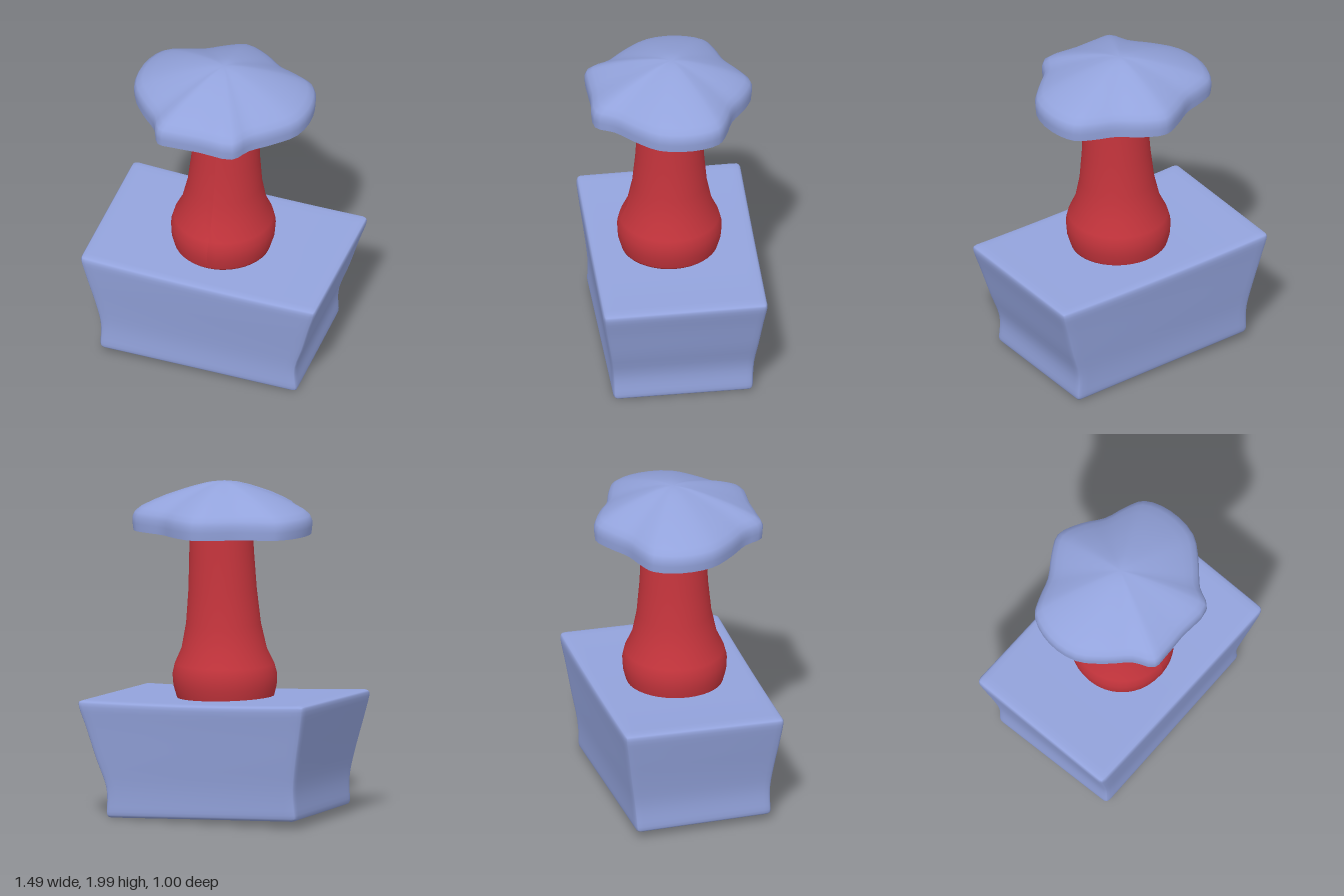
import * as THREE from 'three';
import { mergeVertices } from 'three/addons/utils/BufferGeometryUtils.js';

const blue = new THREE.MeshStandardMaterial({ color: 0x93a3dc, side: THREE.DoubleSide });
const red = new THREE.MeshStandardMaterial({ color: 0xc4343c, side: THREE.DoubleSide });

// Smooth value through evenly spaced samples
function spline(values) {
  const curve = new THREE.SplineCurve(values.map((v, i) => new THREE.Vector2(v, i)));
  return t => curve.getPoint(THREE.MathUtils.clamp(t, 0, 1)).x;
}

// Move every vertex by a rule
function deform(geometry, rule) {
  const pos = geometry.attributes.position;
  const v = new THREE.Vector3();
  for (let i = 0; i < pos.count; i++) {
    v.fromBufferAttribute(pos, i);
    rule(v);
    pos.setXYZ(i, v.x, v.y, v.z);
  }
  geometry.computeVertexNormals();
  return geometry;
}

function part(name, geometry, material) {
  const mesh = new THREE.Mesh(geometry, material);
  mesh.name = name;
  return mesh;
}

// Block with rounded edges, flaring upward and slightly lopsided
function baseGeometry() {
  let g = new THREE.BoxGeometry(2, 2, 2, 20, 20, 20);
  g.deleteAttribute('uv');
  g.deleteAttribute('normal');
  g = mergeVertices(g);
  const half = new THREE.Vector3(0.74, 0.36, 0.5);
  const r = 0.035;
  const inner = half.clone().subScalar(r);
  const core = new THREE.Vector3();
  const right = spline([0.59, 0.585, 0.64, 0.69, 0.74]);
  const left = spline([0.64, 0.635, 0.665, 0.705, 0.74]);
  const front = spline([0.425, 0.425, 0.445, 0.47, 0.49]);
  const back = spline([0.41, 0.42, 0.445, 0.47, 0.495]);
  return deform(g, v => {
    // crowd the divisions toward the edges, then round them
    for (const k of ['x', 'y', 'z']) v[k] = Math.sin(v[k] * Math.PI / 2) * half[k];
    core.copy(v).clamp(inner.clone().negate(), inner);
    v.sub(core);
    if (v.lengthSq() > 1e-10) v.setLength(r);
    v.add(core).divide(half);
    // tapered sides and tilted top and bottom
    const { x, z } = v;
    const t = (v.y + 1) / 2;
    const bottom = 0.027 - 0.022 * x;
    const top = 0.725 - 0.025 * x - 0.01 * z - 0.012 * (1 - x * x);
    v.set(
      x * (x > 0 ? right(t) : left(t)) - 0.01 * z * t,
      THREE.MathUtils.lerp(bottom, top, t),
      z * (z > 0 ? front(t) : back(t)) + 0.014 * x * t
    );
  });
}

// Turned stem with a swollen foot, leaning slightly to one side
function stemGeometry() {
  const profile = [
    [0, 0.705], [0.285, 0.705], [0.288, 0.715], [0.306, 0.78], [0.31, 0.85], [0.295, 0.91],
    [0.253, 1.0], [0.222, 1.15], [0.203, 1.35], [0.193, 1.55], [0.187, 1.71], [0.186, 1.725], [0, 1.727]
  ].map(p => new THREE.Vector2(...p));
  return deform(new THREE.LatheGeometry(profile, 40), v => {
    v.x += (v.y - 0.8) * 0.028;
    v.z += 0.014;
  });
}

// Hollow cap: a lobed outline drawn in toward the crown
function capGeometry() {
  const outline = [
    [0, -0.48], [0.14, -0.42], [0.26, -0.33], [0.39, -0.28], [0.49, -0.22], [0.54, -0.06],
    [0.51, 0.14], [0.39, 0.28], [0.28, 0.38], [0.21, 0.49], [0, 0.485], [-0.16, 0.488],
    [-0.26, 0.48], [-0.32, 0.36], [-0.43, 0.24], [-0.53, 0.09], [-0.545, -0.1],
    [-0.48, -0.26], [-0.38, -0.31], [-0.25, -0.35], [-0.12, -0.43]
  ].map(([x, z]) => new THREE.Vector3(x, 0, z));
  const curve = new THREE.CatmullRomCurve3(outline, true);
  const rings = [
    [0.99, 1.705], [1, 1.75], [1, 1.785], [0.975, 1.815], [0.91, 1.842], [0.8, 1.872],
    [0.65, 1.908], [0.5, 1.938], [0.35, 1.965], [0.2, 1.988], [0.09, 1.998], [0, 2]
  ];
  const n = 63;
  const positions = [];
  const index = [];
  rings.forEach(([scale, y], i) => {
    for (let j = 0; j < n; j++) {
      const p = curve.getPoint(j / n);
      positions.push(p.x * scale, y, p.z * scale);
      if (i === rings.length - 1) continue;
      const a = i * n + j;
      const b = i * n + (j + 1) % n;
      index.push(a, a + n, b, b, a + n, b + n);
    }
  });
  const g = new THREE.BufferGeometry();
  g.setAttribute('position', new THREE.Float32BufferAttribute(positions, 3));
  g.setIndex(index);
  const merged = mergeVertices(g);
  merged.computeVertexNormals();
  return merged;
}

export function createModel() {
  const model = new THREE.Group();
  model.name = 'mushroomOnBlock';
  model.add(
    part('base', baseGeometry(), blue),
    part('stem', stemGeometry(), red),
    part('cap', capGeometry(), blue)
  );
  return model;
}
